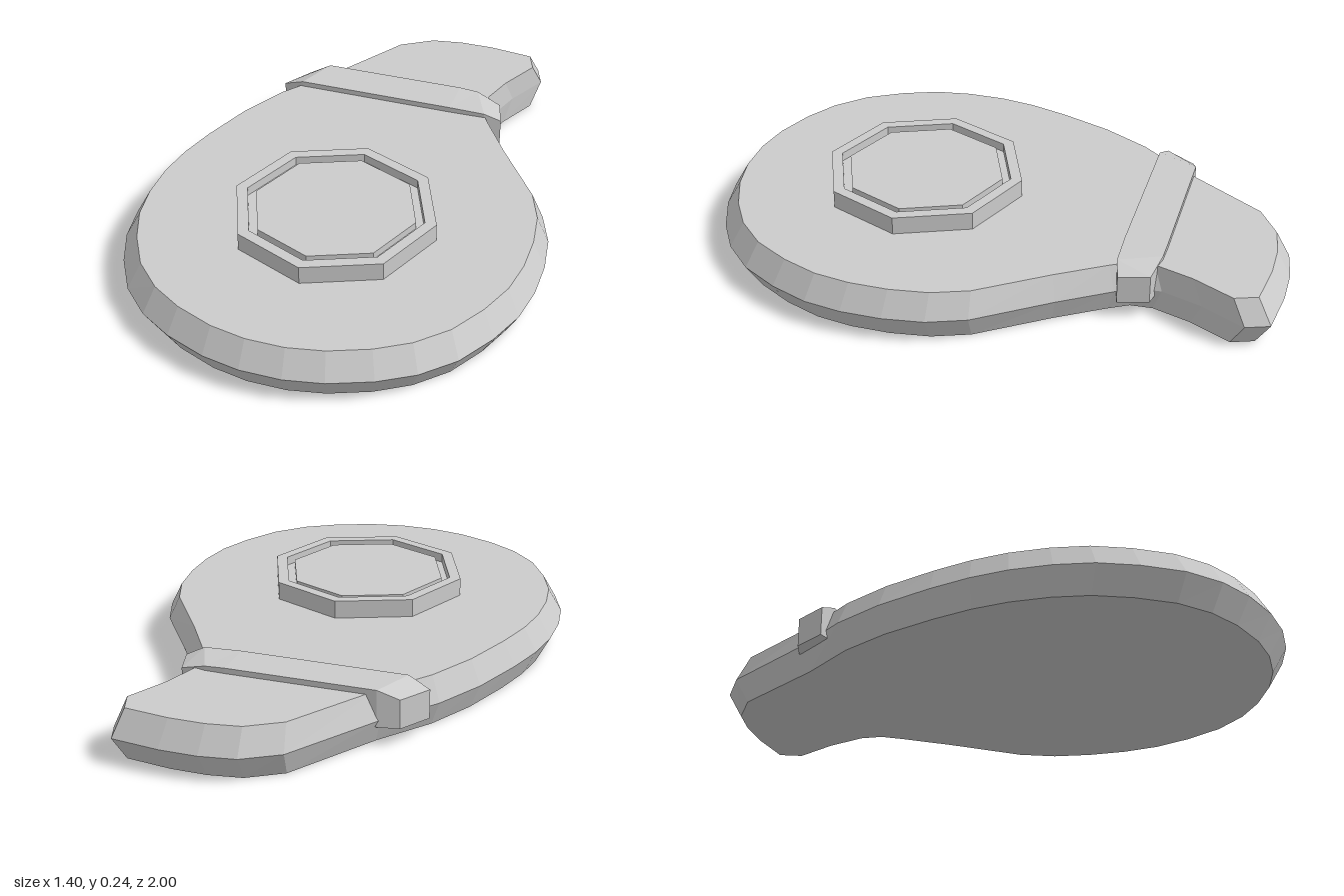
import * as THREE from 'three';

const material = new THREE.MeshStandardMaterial({ color: 0xcccccc, flatShading: true });

function mesh(name, geometry) {
  const m = new THREE.Mesh(geometry, material);
  m.name = name;
  return m;
}

function fromTriangles(points, index) {
  const g = new THREE.BufferGeometry();
  g.setAttribute('position', new THREE.Float32BufferAttribute(points.flat(), 3));
  g.setIndex(index);
  const flat = g.toNonIndexed();
  flat.computeVertexNormals();
  return flat;
}

// Teardrop outline with a curled tail as [x, z]: left side, tail, right side, round front
const outline = [
  [-0.70, 0.36], [-0.70, 0.22], [-0.68, 0.09], [-0.64, -0.05], [-0.57, -0.24], [-0.48, -0.41],
  [-0.34, -0.59], [-0.14, -0.905], [-0.02, -0.98], [0.10, -1.0], [0.23, -1.0], [0.395, -0.98],
  [0.425, -0.90], [0.35, -0.75], [0.305, -0.61], [0.31, -0.53], [0.35, -0.46], [0.46, -0.29],
  [0.63, -0.05], [0.68, 0.08], [0.70, 0.22], [0.70, 0.36], [0.68, 0.49], [0.63, 0.62],
  [0.555, 0.75], [0.455, 0.85], [0.34, 0.92], [0.20, 0.975], [0.07, 1.0],
  [-0.07, 1.0], [-0.20, 0.975], [-0.34, 0.92], [-0.455, 0.85], [-0.555, 0.75], [-0.63, 0.62], [-0.68, 0.49],
];

// Three rings, widest at the middle, closed with flat caps
function bodyGeometry() {
  const n = outline.length;
  const rings = [[0, 0.935, 0.95], [0.087, 1, 1], [0.173, 0.935, 0.95]];
  const points = rings.flatMap(([y, sx, sz]) => outline.map(([x, z]) => [x * sx, y, z * sz]));
  const index = [];
  for (let r = 0; r < 2; r++) {
    for (let i = 0; i < n; i++) {
      const j = (i + 1) % n;
      const a = r * n + i, b = r * n + j;
      index.push(b, a, a + n, b, a + n, b + n);
    }
  }
  const contour = outline.map(([x, z]) => new THREE.Vector2(x, -z)).reverse();
  for (const face of THREE.ShapeUtils.triangulateShape(contour, [])) {
    const [a, b, c] = face.map((k) => n - 1 - k);
    index.push(a + 2 * n, b + 2 * n, c + 2 * n, c, b, a);
  }
  return fromTriangles(points, index);
}

// Strap across the neck, swept through sections of four corners
function strapGeometry() {
  // front x, front z, back x, back z, bottom y, top y
  const sections = [
    [-0.466, -0.472, -0.40, -0.577, 0.06, 0.16],
    [-0.39, -0.455, -0.33, -0.598, 0.065, 0.192],
    [0.18, -0.455, 0.18, -0.60, 0.065, 0.192],
    [0.31, -0.458, 0.25, -0.598, 0.065, 0.188],
    [0.37, -0.474, 0.34, -0.577, 0.06, 0.16],
  ];
  const points = sections.flatMap(([xf, zf, xb, zb, y0, y1]) =>
    [[xf, y0, zf], [xf, y1, zf], [xb, y1, zb], [xb, y0, zb]]);
  const index = [];
  for (let s = 0; s < sections.length - 1; s++) {
    for (let k = 0; k < 4; k++) {
      const a = s * 4 + k, b = s * 4 + (k + 1) % 4;
      index.push(a, a + 4, b + 4, a, b + 4, b);
    }
  }
  const e = (sections.length - 1) * 4;
  index.push(0, 1, 2, 0, 2, 3, e + 2, e + 1, e, e + 3, e + 2, e);
  return fromTriangles(points, index);
}

export function createModel() {
  const model = new THREE.Group();
  model.name = 'pouch';
  model.add(mesh('body', bodyGeometry()));
  model.add(mesh('neckStrap', strapGeometry()));

  // Octagonal medallion: raised rim, groove and centre plate
  const profile = [
    [0.35, 0.16], [0.35, 0.236], [0.31, 0.236], [0.31, 0.205], [0.28, 0.205], [0.28, 0.23], [0, 0.23],
  ].map(([r, y]) => new THREE.Vector2(r, y));
  const medallion = mesh('medallion', new THREE.LatheGeometry(profile, 8));
  medallion.position.z = 0.3;
  model.add(medallion);
  return model;
}
